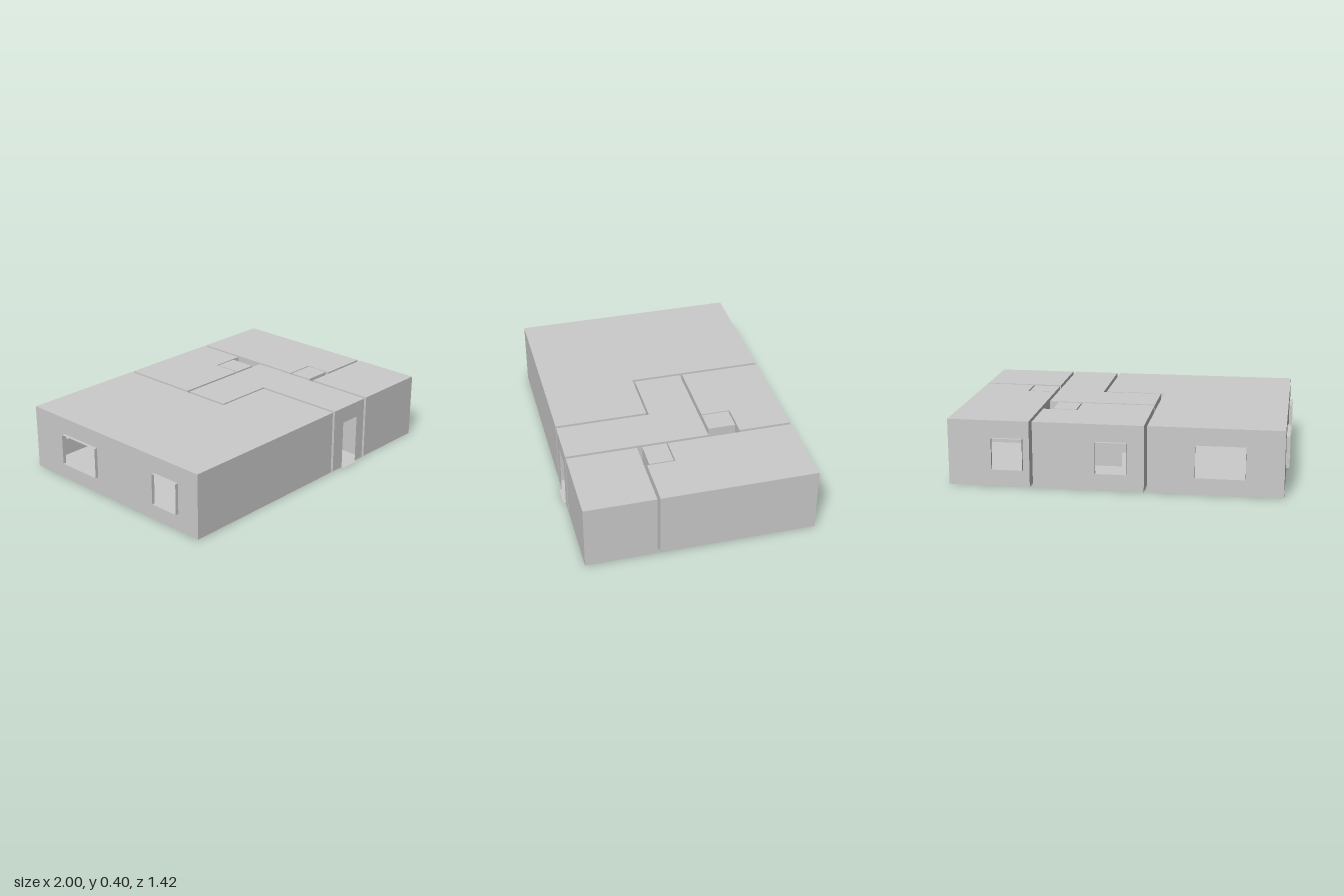
import * as THREE from 'three';

const HEIGHT = 0.4;
const DOOR_HEIGHT = 0.3;
const SILL = 0.105, WINDOW_TOP = 0.295, WINDOW_DEPTH = 0.02;
const BACK = -0.691, FRONT = 0.693;

const material = new THREE.MeshStandardMaterial({ color: 0xcccccc, side: THREE.DoubleSide, flatShading: true });

// rectangular outline as [x, z] corners, front edge first running towards +x
const rect = (x0, x1, z0, z1) => [[x0, z1], [x1, z1], [x1, z0], [x0, z0]];

const rooms = {
  livingRoom: [[-0.981, FRONT], [0.183, FRONT], [0.183, 0.13], [-0.187, 0.13], [-0.187, BACK], [-0.981, BACK]],
  hallway: [[0.202, FRONT], [0.492, FRONT], [0.492, -0.176], [-0.168, -0.176], [-0.168, 0.118], [0.202, 0.118]],
  backRoom: [[-0.168, -0.193], [0.281, -0.193], [0.281, -0.371], [0.492, -0.371], [0.492, BACK], [-0.168, BACK]],
  bedroom: [[0.687, 0.249], [1, 0.249], [1, BACK], [0.511, BACK], [0.511, 0.08], [0.687, 0.08]],
  frontRoom: rect(0.511, 1, 0.267, FRONT),
  backCloset: rect(0.289, 0.433, -0.361, -0.193),
  sideCloset: rect(0.511, 0.679, 0.088, 0.235),
};

// doors lie on the middle line of the gap between two rooms: [x0, z0, x1, z1]
const doors = [
  [0.29, 0.701, 0.422, 0.701],
  [-0.09, -0.1845, 0.04, -0.1845],
  [0.3, -0.1845, 0.43, -0.1845],
  [-0.1775, -0.102, -0.1775, 0.03],
  [0.5015, -0.098, 0.5015, 0.036],
  [0.5015, 0.092, 0.5015, 0.231],
  [0.5015, 0.35, 0.5015, 0.48],
];

// windows lie on the outer walls
const windows = [
  [-0.759, BACK, -0.466, BACK],
  [-0.07, BACK, 0.118, BACK],
  [0.55, BACK, 0.736, BACK],
  [-0.981, -0.428, -0.981, -0.134],
  [-0.981, 0.35, -0.981, 0.54],
];

function add(parent, geometry, name) {
  const mesh = new THREE.Mesh(geometry, material);
  mesh.name = name;
  parent.add(mesh);
  return mesh;
}

// span [from, to] of an opening along wall a-b, or null if it is not on that wall
function spanOn(a, b, [x0, z0, x1, z1]) {
  const length = Math.hypot(b[0] - a[0], b[1] - a[1]);
  const ux = (b[0] - a[0]) / length, uz = (b[1] - a[1]) / length;
  const along = (x, z) => (x - a[0]) * ux + (z - a[1]) * uz;
  const off = (x, z) => Math.abs((x - a[0]) * uz - (z - a[1]) * ux);
  if (off(x0, z0) > 0.013 || off(x1, z1) > 0.013) return null;
  const span = [along(x0, z0), along(x1, z1)].sort((p, q) => p - q);
  return span[0] >= 0 && span[1] <= length ? span : null;
}

// wall panel with notches for doors and holes plus projecting reveals for windows
function buildWall(a, b) {
  const wall = new THREE.Group();
  wall.name = 'wall';
  const length = Math.hypot(b[0] - a[0], b[1] - a[1]);
  const spans = (list) => list.map((o) => spanOn(a, b, o)).filter(Boolean).sort((p, q) => p[0] - q[0]);

  const shape = new THREE.Shape().moveTo(0, 0);
  for (const [from, to] of spans(doors)) {
    shape.lineTo(from, 0).lineTo(from, DOOR_HEIGHT).lineTo(to, DOOR_HEIGHT).lineTo(to, 0);
  }
  shape.lineTo(length, 0).lineTo(length, HEIGHT).lineTo(0, HEIGHT);

  for (const [from, to] of spans(windows)) {
    shape.holes.push(new THREE.Path().moveTo(from, SILL).lineTo(from, WINDOW_TOP)
      .lineTo(to, WINDOW_TOP).lineTo(to, SILL).closePath());
    // four sides of a box, without its front and back
    const reveal = new THREE.BoxGeometry(to - from, WINDOW_TOP - SILL, WINDOW_DEPTH);
    reveal.setIndex(Array.from(reveal.index.array.slice(0, 24)));
    reveal.clearGroups();
    add(wall, reveal, 'windowReveal')
      .position.set((from + to) / 2, (SILL + WINDOW_TOP) / 2, WINDOW_DEPTH / 2);
  }
  add(wall, new THREE.ShapeGeometry(shape), 'wallPanel');

  wall.position.set(a[0], 0, a[1]);
  wall.rotation.y = Math.atan2(-(b[1] - a[1]), b[0] - a[0]);
  return wall;
}

function buildRoom(name, outline) {
  const room = new THREE.Group();
  room.name = name;
  const plan = (sign) => new THREE.ShapeGeometry(
    new THREE.Shape(outline.map(([x, z]) => new THREE.Vector2(x, sign * z)))).rotateX(sign * Math.PI / 2);
  add(room, plan(1), 'floor');
  add(room, plan(-1), 'ceiling').position.y = HEIGHT;
  outline.forEach((a, i) => room.add(buildWall(a, outline[(i + 1) % outline.length])));
  return room;
}

export function createModel() {
  const model = new THREE.Group();
  model.name = 'floorPlan';
  for (const [name, outline] of Object.entries(rooms)) model.add(buildRoom(name, outline));

  // flat floor strips bridging the gap at each door
  for (const [x0, z0, x1, z1] of doors) {
    const gap = x0 === x1 ? 0.019 : 0.018;
    const strip = new THREE.PlaneGeometry(Math.max(x1 - x0, gap), Math.max(z1 - z0, gap)).rotateX(-Math.PI / 2);
    add(model, strip, 'doorThreshold').position.set((x0 + x1) / 2, 0, (z0 + z1) / 2);
  }
  return model;
}
